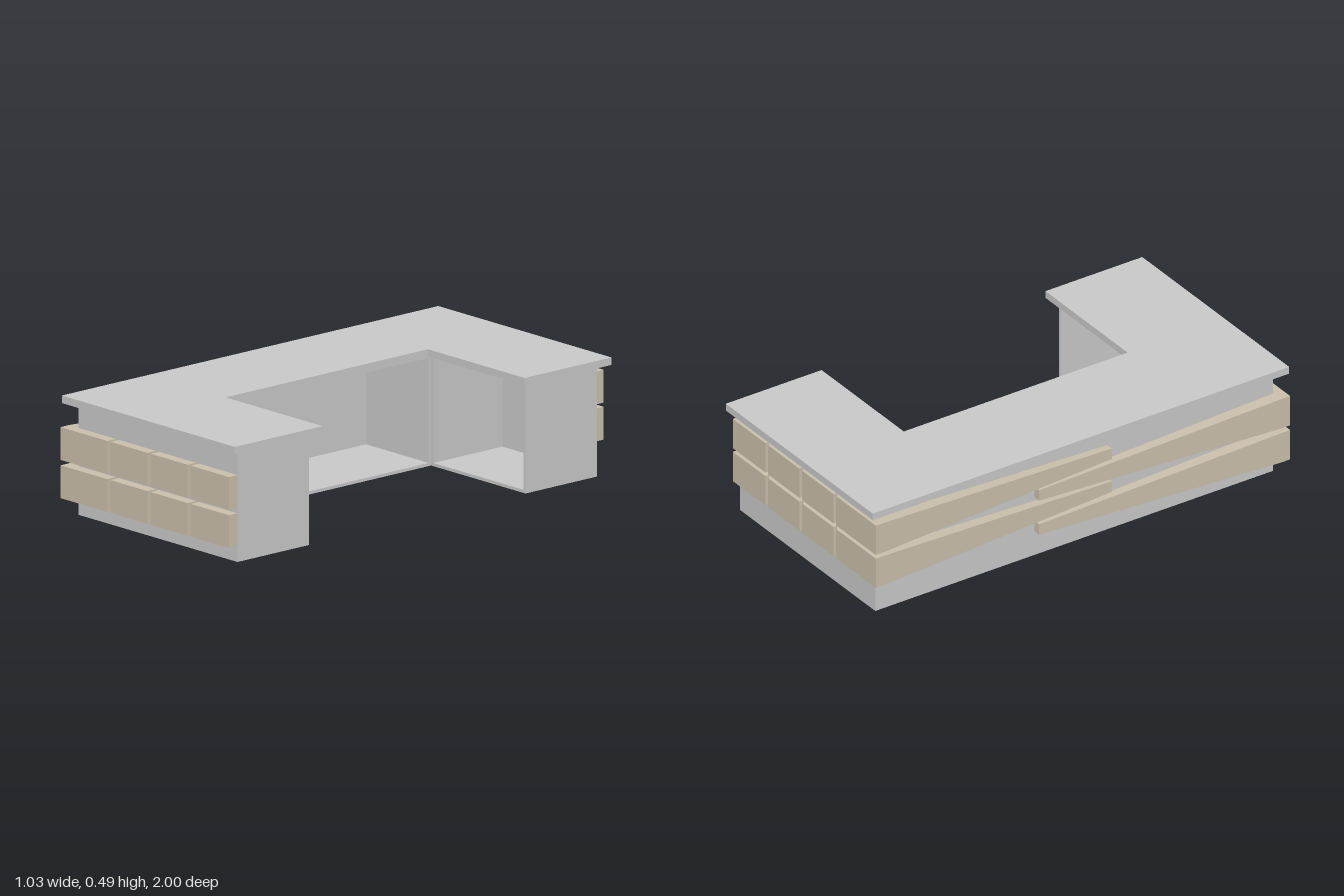
import * as THREE from 'three';

export function createModel() {
  const model = new THREE.Group();
  model.name = 'counter';
  const grey = new THREE.MeshStandardMaterial({ color: 0xc9c9c9 });
  grey.name = 'light grey';
  const tan = new THREE.MeshStandardMaterial({ color: 0xcabfab });
  tan.name = 'tan cladding';

  // box from its lower and upper corners
  function box(name, mat, [x0, x1], [y0, y1], [z0, z1], parent = model) {
    const mesh = new THREE.Mesh(new THREE.BoxGeometry(x1 - x0, y1 - y0, z1 - z0), mat);
    mesh.position.set((x0 + x1) / 2, (y0 + y1) / 2, (z0 + z1) / 2);
    mesh.name = name;
    parent.add(mesh);
    return mesh;
  }

  const H = 0.457, T = 0.013;
  const backX = -0.465, innerX = -0.08, endX = 0.48;
  const innerZ = 0.575, outerZ = 0.955;

  // U-shaped worktop (shape y is -z)
  const u = new THREE.Shape([
    [-0.513, -1], [0.515, -1], [0.515, -0.535], [-0.06, -0.535],
    [-0.06, 0.54], [0.515, 0.54], [0.515, 1], [-0.513, 1],
  ].map(([x, y]) => new THREE.Vector2(x, y)));
  const top = new THREE.Mesh(
    new THREE.ExtrudeGeometry(u, { depth: 0.031, bevelEnabled: false }).rotateX(-Math.PI / 2), grey);
  top.position.y = H;
  top.name = 'worktop';
  model.add(top);

  // middle cabinet, open towards +x
  const middle = new THREE.Group();
  middle.name = 'middleCabinet';
  model.add(middle);
  const mx = [backX, innerX], mz = [-innerZ, innerZ];
  box('floor', grey, mx, [0, T], mz, middle);
  box('ceiling', grey, mx, [H - T, H], mz, middle);
  box('backWall', grey, [backX, backX + T], [T, H - T], mz, middle);
  for (const s of [-1, 1]) {
    const span = (a, b) => (s > 0 ? [a, b] : [-b, -a]);
    box('sideWall', grey, mx, [T, H - T], span(innerZ - T, innerZ), middle);

    // closed corner and wing cabinet, open towards the middle
    const z = span(innerZ, outerZ);
    box('cornerBlock', grey, mx, [0, H], z);
    const wing = new THREE.Group();
    wing.name = s > 0 ? 'frontWing' : 'backWing';
    model.add(wing);
    const wx = [innerX, endX];
    box('floor', grey, wx, [0, T], z, wing);
    box('ceiling', grey, wx, [H - T, H], z, wing);
    box('outerWall', grey, wx, [T, H - T], span(outerZ - T, outerZ), wing);
    box('partition', grey, [innerX, innerX + T], [T, H - T], span(innerZ, outerZ - T), wing);
    box('endWall', grey, [endX - T, endX], [T, H - T], span(innerZ, outerZ - T), wing);

    // two rows of cladding blocks with recessed joints between them
    const face = s > 0 ? 1.0 : 0.99;
    const rows = s > 0 ? [0.065, 0.222] : [0.145, 0.297];
    const columns = [[-0.52, -0.242], [-0.224, -0.004], [0.014, 0.234], [0.252, endX]];
    for (const y of rows) {
      columns.forEach((c, i) => {
        box('claddingBlock', tan, c, [y, y + 0.135], span(outerZ, face));
        if (i < 3) {
          box('claddingJoint', tan, [c[1], columns[i + 1][0]], [y + 0.007, y + 0.128],
            span(outerZ, face - 0.015));
        }
      });

      // side beam tapering away from the corner
      const far = s > 0 ? -0.19 : -0.16;
      const length = outerZ - far;
      const beam = box('taperedBeam', tan, [-0.52, backX], [y, y + 0.135], span(far, outerZ));
      const p = beam.geometry.attributes.position;
      for (let i = 0; i < p.count; i++) {
        if (p.getZ(i) * s > -length / 2 + 0.001) continue;
        p.setY(i, Math.sign(p.getY(i)) * 0.024);
        if (p.getX(i) < 0) p.setX(i, p.getX(i) + 0.023);
      }
      beam.geometry.computeVertexNormals();
    }
  }
  return model;
}
